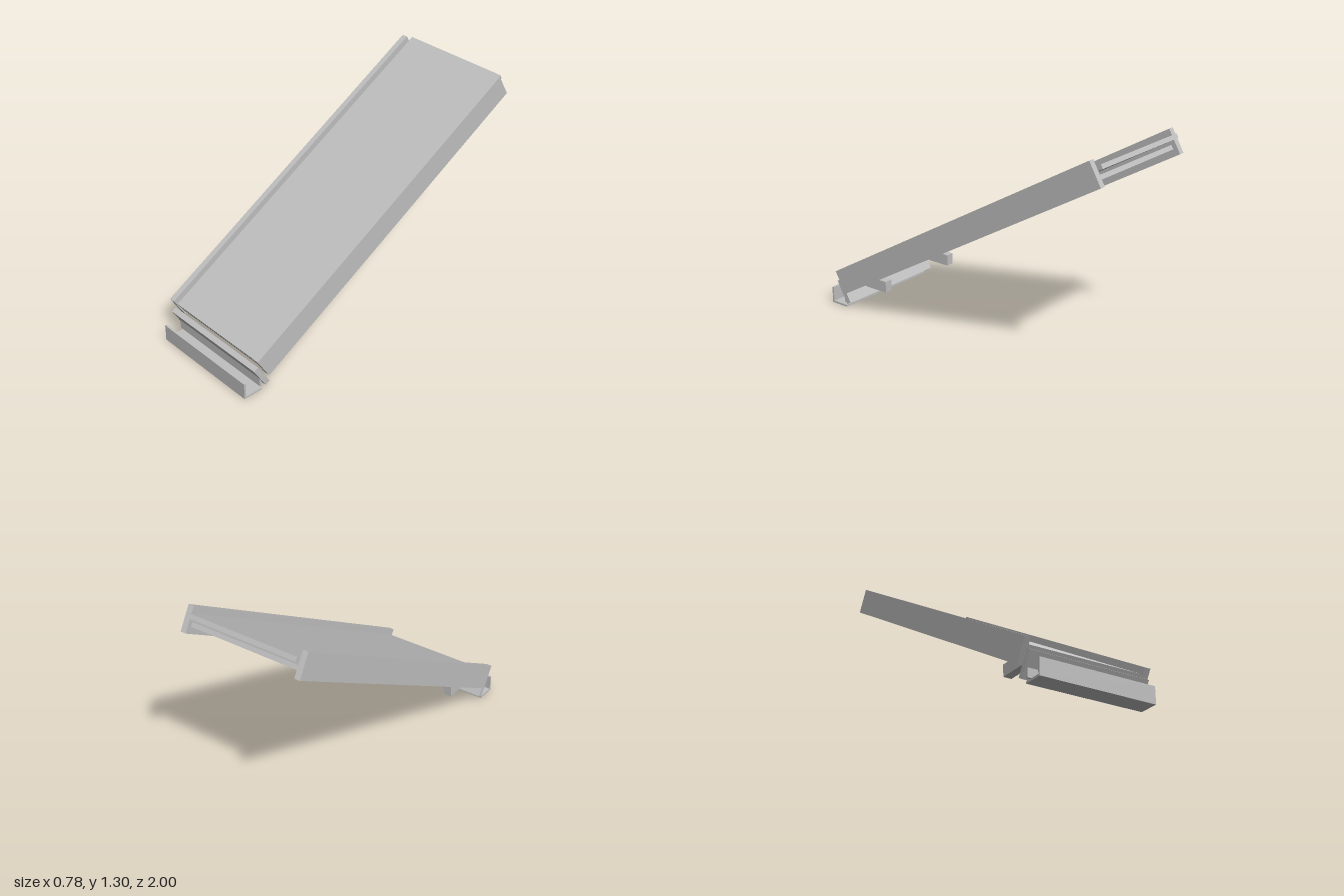
import * as THREE from 'three';

export function createModel() {
  const model = new THREE.Group();
  model.name = 'inclinedConveyor';
  const grey = new THREE.MeshStandardMaterial({ color: 0xc0c0c0 });
  grey.name = 'plain grey';

  // Box given by its min and max on each axis
  const box = (parent, name, [x0, x1], [y0, y1], [z0, z1]) => {
    const mesh = new THREE.Mesh(new THREE.BoxGeometry(x1 - x0, y1 - y0, z1 - z0), grey);
    mesh.position.set((x0 + x1) / 2, (y0 + y1) / 2, (z0 + z1) / 2);
    mesh.name = name;
    parent.add(mesh);
  };

  // Bed tilted by 30 degrees: local z runs down the slope, local y is its normal
  const bed = new THREE.Group();
  bed.name = 'slopedBed';
  bed.position.set(0, 0.704, -0.035);
  bed.rotation.x = Math.PI / 6;
  model.add(bed);

  box(bed, 'leftRail', [0.355, 0.39], [-0.075, 0.075], [-1.068, 1.068]);
  box(bed, 'rightRail', [-0.39, -0.355], [-0.075, 0.075], [-1.068, 1.068]);
  box(bed, 'upperPanel', [-0.355, 0.355], [0.01, 0.036], [-1.1, 1.062]);
  box(bed, 'lowerPanel', [-0.355, 0.355], [-0.036, -0.01], [-1.04, 1.06]);
  box(bed, 'crossPlate', [-0.368, 0.368], [-0.137, 0.017], [1.081, 1.113]);

  // Short struts under the bed, running into the lower panel
  for (const [name, x] of [['leftStrut', 0.28], ['rightStrut', -0.28]]) {
    box(model, name, [x - 0.025, x + 0.025], [0.155, 0.225], [0.59, 0.845]);
  }

  // Plate hanging below the cross plate
  box(model, 'hangingPlate', [-0.355, 0.355], [0.03, 0.1], [0.88, 0.892]);

  // Angled tray at the foot
  box(model, 'trayBase', [-0.355, 0.355], [0, 0.012], [0.88, 0.988]);
  box(model, 'trayFront', [-0.355, 0.355], [0, 0.102], [0.988, 1]);

  return model;
}
